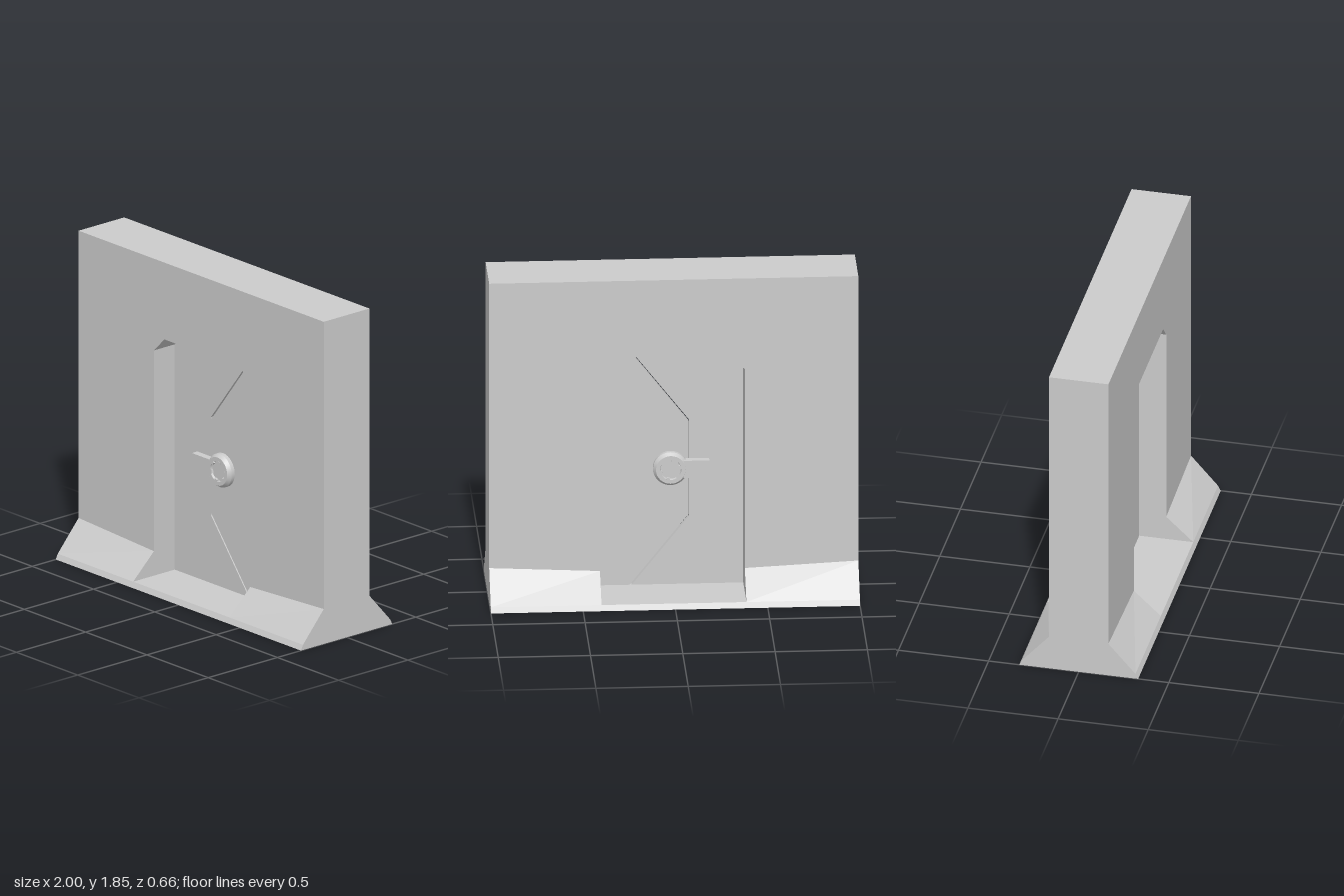
import * as THREE from 'three';
import { toCreasedNormals } from 'three/addons/utils/BufferGeometryUtils.js';

const material = new THREE.MeshStandardMaterial({ color: 0xcccccc });

// Doorway and wall sizes
const LEFT = -0.385, RIGHT = 0.4, SILL = 0.03, LINTEL = 1.405;
const TOP = 1.845, HALF = 0.165, DOOR = 0.015;

function addMesh(parent, name, geometry) {
  const mesh = new THREE.Mesh(geometry, material);
  mesh.name = name;
  parent.add(mesh);
  return mesh;
}

// Mirrors a half profile of [z, y] points front to back
const mirrored = (half) => [...half, ...half.map(([z, y]) => [-z, y]).reverse()];

// Wall section with flared foot; the flare ends at height y
const wallSection = (y) => mirrored([[0.33, 0], [0.315, SILL], [HALF, y], [HALF, TOP]]);

// Solid between section a at x0 and section b at x1 (x0 < x1)
function loft(a, x0, b, x1) {
  const pos = [];
  const put = (section, x, i) => pos.push(x, section[i][1], section[i][0]);
  a.forEach((_, i) => {
    const j = (i + 1) % a.length;
    put(a, x0, i); put(b, x1, i); put(b, x1, j);
    put(a, x0, i); put(b, x1, j); put(a, x0, j);
  });
  const contour = a.map(([z, y]) => new THREE.Vector2(z, y));
  for (const [i, j, k] of THREE.ShapeUtils.triangulateShape(contour, [])) {
    put(a, x0, i); put(a, x0, j); put(a, x0, k);
    put(b, x1, k); put(b, x1, j); put(b, x1, i);
  }
  const geometry = new THREE.BufferGeometry();
  geometry.setAttribute('position', new THREE.Float32BufferAttribute(pos, 3));
  geometry.computeVertexNormals();
  return geometry;
}

// Flat outline extruded evenly about z = 0
function slab(points, halfDepth) {
  const shape = new THREE.Shape(points.map(([x, y]) => new THREE.Vector2(x, y)));
  return new THREE.ExtrudeGeometry(shape, { depth: halfDepth * 2, bevelEnabled: false })
    .translate(0, 0, -halfDepth);
}

// Round lock hub with toothed recess and a lever toward -x
function createLock(side) {
  const lock = new THREE.Group();
  lock.name = side > 0 ? 'frontLock' : 'backLock';
  const profile = [[0.095, 0], [0.095, 0.022], [0.08, 0.042], [0.058, 0.042], [0.055, 0.03], [0, 0.03]]
    .map(([r, h]) => new THREE.Vector2(r, h));
  const hub = new THREE.LatheGeometry(profile, 32).rotateX(Math.PI / 2);
  addMesh(lock, 'lockHub', toCreasedNormals(hub, 0.4));
  for (let i = 0; i < 6; i++) {
    const angle = (i + 0.25) * Math.PI / 3;
    const tooth = addMesh(lock, 'lockTooth', new THREE.BoxGeometry(0.01, 0.02, 0.018));
    tooth.position.set(Math.cos(angle) * 0.053, Math.sin(angle) * 0.053, 0.034);
    tooth.rotation.z = angle;
  }
  const lever = addMesh(lock, 'lockLever', new THREE.BoxGeometry(0.14, 0.1, 0.04));
  lever.position.set(-0.14 * side, 0, 0.02);
  lock.position.set(0.01, 0.705, DOOR * side);
  if (side < 0) lock.rotation.y = Math.PI;
  return lock;
}

export function createModel() {
  const model = new THREE.Group();
  model.name = 'wallWithDoor';

  // Wall on either side of the doorway; the flare dips toward the opening
  const outer = wallSection(0.2), inner = wallSection(0.17);
  addMesh(model, 'rightWall', loft(outer, -1, inner, LEFT));
  addMesh(model, 'leftWall', loft(inner, RIGHT, outer, 1));

  // Sill and header with clipped corners
  const sill = mirrored([[0.33, 0], [0.315, SILL]]);
  addMesh(model, 'sill', loft(sill, LEFT, sill, RIGHT));
  addMesh(model, 'header', slab([
    [LEFT, TOP], [LEFT, 1.32], [-0.3, LINTEL], [0.325, LINTEL], [RIGHT, 1.325], [RIGHT, TOP],
  ], HALF));

  // Two interlocking door panels with a narrow gap
  addMesh(model, 'rightDoorPanel', slab([
    [LEFT, SILL], [0.22, SILL], [-0.09, 0.42], [-0.09, 0.98],
    [0.24, LINTEL], [-0.3, LINTEL], [LEFT, 1.32],
  ], DOOR));
  addMesh(model, 'leftDoorPanel', slab([
    [0.23, SILL], [RIGHT, SILL], [RIGHT, 1.325], [0.325, LINTEL],
    [0.25, LINTEL], [-0.088, 0.968], [-0.088, 0.432],
  ], DOOR));

  // A lock on each face of the door
  model.add(createLock(1), createLock(-1));
  return model;
}
